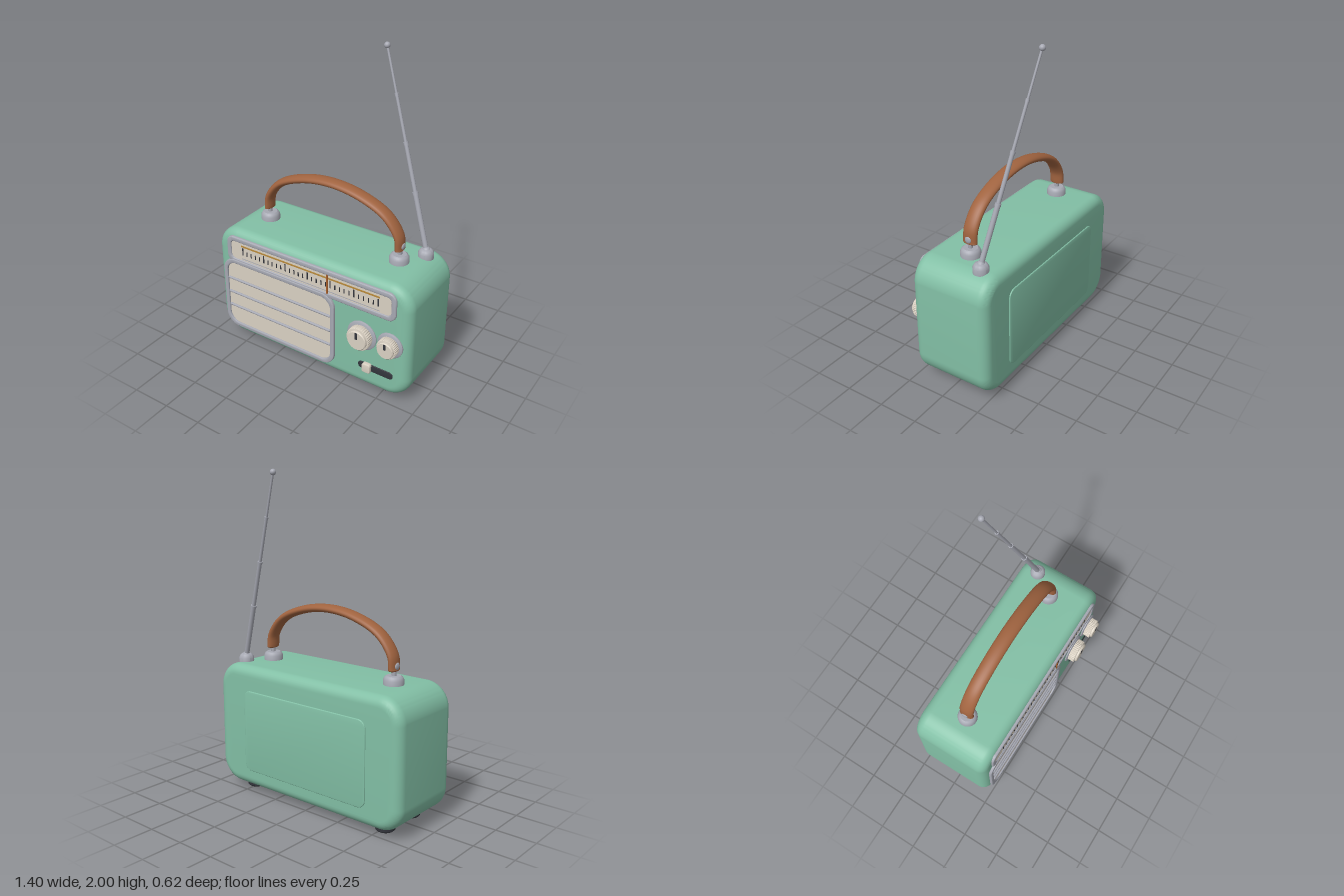
import * as THREE from 'three';
import { toCreasedNormals } from 'three/addons/utils/BufferGeometryUtils.js';

const mat = (name, color) => Object.assign(new THREE.MeshStandardMaterial({ color }), { name });

// Rounded rectangle outline from its edges
function roundedRect(x0, x1, y0, y1, r, Type = THREE.Shape) {
  const s = new Type();
  s.absarc(x1 - r, y0 + r, r, -Math.PI / 2, 0);
  s.absarc(x1 - r, y1 - r, r, 0, Math.PI / 2);
  s.absarc(x0 + r, y1 - r, r, Math.PI / 2, Math.PI);
  s.absarc(x0 + r, y0 + r, r, Math.PI, Math.PI * 1.5);
  s.closePath();
  return s;
}

// Extrusion filling z0..z1 whose bevel stays inside the outline
function slab(shape, z0, z1, bevel, segments = 3) {
  const g = new THREE.ExtrudeGeometry(shape, {
    depth: z1 - z0 - 2 * bevel, bevelEnabled: bevel > 0, bevelThickness: bevel,
    bevelSize: bevel, bevelOffset: -bevel, bevelSegments: segments, curveSegments: 12,
  });
  g.translate(0, 0, z0 + bevel);
  return toCreasedNormals(g, 0.6);
}

export function createModel() {
  const model = new THREE.Group();
  model.name = 'portableRadio';
  const green = mat('green enamel', 0x82bfa5);
  const cream = mat('cream plastic', 0xd9d0c2);
  const metal = mat('brushed metal', 0xa6a8b2);
  const leather = mat('brown leather', 0xa0633f);
  const dark = mat('dark rubber', 0x34363d);
  const gold = mat('gold line', 0xb88a3c);
  const pointerMat = mat('pointer orange', 0xa8602c);

  const add = (name, geometry, material, x = 0, y = 0, z = 0, parent = model) => {
    const m = new THREE.Mesh(geometry, material);
    m.name = name;
    m.position.set(x, y, z);
    parent.add(m);
    return m;
  };
  const lathe = (pts) => toCreasedNormals(
    new THREE.LatheGeometry(pts.map(p => new THREE.Vector2(...p)), 32), 0.6);
  const FACE = 0.235;

  // Cabinet and back cover
  add('body', slab(roundedRect(-0.7, 0.7, 0.045, 0.82, 0.15), -0.28, FACE, 0.06, 8), green);
  add('backCover', slab(roundedRect(-0.47, 0.47, 0.155, 0.67, 0.05), -0.287, -0.27, 0.004), green);

  // Feet
  const footGeo = lathe([[0, 0], [0.05, 0], [0.058, 0.008], [0.061, 0.05], [0, 0.05]]);
  for (const x of [-0.515, 0.515])
    for (const z of [0.105, -0.145]) add('foot', footGeo, dark, x, 0, z);

  // Framed panels: a metal rim around a cream plate
  function panel(name, x0, x1, y0, y1, r, rim, top) {
    const frame = roundedRect(x0, x1, y0, y1, r);
    frame.holes.push(roundedRect(x0 + rim, x1 - rim, y0 + rim, y1 - rim, r - rim * 0.7, THREE.Path));
    add(name + 'Frame', slab(frame, 0.225, top, 0.006), metal);
    const i = rim - 0.008;
    add(name + 'Plate', slab(roundedRect(x0 + i, x1 - i, y0 + i, y1 - i, r - i * 0.7), 0.225, 0.241, 0), cream);
  }
  panel('dial', -0.612, 0.607, 0.594, 0.78, 0.05, 0.031, 0.248);
  panel('speaker', -0.648, 0.195, 0.1, 0.614, 0.09, 0.028, 0.252);

  // Speaker bars
  const barGeo = new THREE.CapsuleGeometry(0.009, 0.77, 6, 12).rotateZ(Math.PI / 2);
  for (const y of [0.255, 0.358, 0.463]) add('speakerBar', barGeo, metal, -0.227, y, 0.243);

  // Dial scale: gold line, ticks, lower line and pointer
  add('scaleLine', new THREE.BoxGeometry(1.0, 0.01, 0.004), gold, 0, 0.727, 0.242);
  add('scaleLowerLine', new THREE.BoxGeometry(1.0, 0.004, 0.003), metal, 0, 0.637, 0.242);
  for (let i = 0; i <= 30; i++) {
    const h = i % 5 === 0 ? 0.05 : 0.03;
    add('scaleTick', new THREE.BoxGeometry(i % 5 === 0 ? 0.008 : 0.006, h, 0.003), dark,
      -0.49 + i * 0.98 / 30, 0.665 + h / 2, 0.242);
  }
  add('dialPointer', new THREE.BoxGeometry(0.011, 0.132, 0.007), pointerMat, 0.143, 0.687, 0.244);

  // Fluted knobs on metal collars
  function knob(name, x, y, r, collar) {
    const g = new THREE.Group();
    g.name = name;
    g.position.set(x, y, FACE);
    model.add(g);
    add('collar', lathe([[0, -0.005], [collar, -0.005], [collar, 0.006], [collar - 0.008, 0.011], [0, 0.011]])
      .rotateX(Math.PI / 2), metal, 0, 0, 0, g);
    const pts = [];
    for (let i = 0; i < 144; i++) {
      const a = i / 144 * Math.PI * 2, q = r - 0.0015 + 0.0015 * Math.cos(a * 36);
      pts.push(new THREE.Vector2(q * Math.cos(a), q * Math.sin(a)));
    }
    add('grip', slab(new THREE.Shape(pts), 0.005, 0.055, 0.004, 2), cream, 0, 0, 0, g);
    add('cap', lathe([[r * 0.84, 0.05], [r * 0.84, 0.065], [r * 0.77, 0.07], [0, 0.07]])
      .rotateX(Math.PI / 2), cream, 0, 0, 0, g);
    add('mark', new THREE.BoxGeometry(0.2 * r, r * 0.58, 0.004), dark, 0, r * 0.45, 0.071, g);
  }
  knob('tuningKnob', 0.385, 0.415, 0.077, 0.098);
  knob('volumeKnob', 0.575, 0.423, 0.064, 0.083);

  // Slide switch
  add('switchSlot', slab(roundedRect(0.363, 0.6, 0.176, 0.224, 0.0235), 0.225, 0.24, 0.002), dark);
  add('switchButton', slab(roundedRect(0.4, 0.456, 0.169, 0.231, 0.012), 0.23, 0.262, 0.006), cream);

  // Carrying handle: flattened tube over two metal mounts
  const HZ = -0.022, WIDE = 1.9, R = 0.0245;
  const half = [[0.47, 0.905], [0.46, 0.985], [0.375, 1.093], [0.2, 1.17]];
  const path = [...half.map(([x, y]) => [-x, y]), [0, 1.197], ...half.slice().reverse()];
  const curve = new THREE.CatmullRomCurve3(path.map(([x, y]) => new THREE.Vector3(x, y, 0)));
  add('handle', new THREE.TubeGeometry(curve, 64, R, 24).scale(1, 1, WIDE), leather, 0, 0, HZ);
  const mountGeo = lathe([[0.06, -0.01], [0.06, 0.03], [0.052, 0.046], [0.042, 0.053], [0, 0.053]]);
  const rivetGeo = new THREE.SphereGeometry(0.021, 20, 12).scale(0.4, 1, 1);
  const endGeo = new THREE.SphereGeometry(R, 24, 12).scale(1, 0.5, WIDE);
  for (const s of [-1, 1]) {
    add('handleEnd', endGeo, leather, s * 0.47, 0.905, HZ);
    add('handleMount', mountGeo, metal, s * 0.468, 0.818, HZ);
    add('handlePin', new THREE.CylinderGeometry(0.014, 0.014, 0.05, 16), metal, s * 0.47, 0.875, HZ);
    add('handleRivet', rivetGeo, metal, s * 0.491, 0.927, HZ);
  }

  // Telescopic antenna on its pivot
  add('antennaBase', lathe([[0.047, -0.01], [0.047, 0.025], [0.038, 0.042], [0.026, 0.05], [0, 0.05]]),
    metal, 0.568, 0.818, -0.163);
  const foot = new THREE.Vector3(0.568, 0.855, -0.163), tip = new THREE.Vector3(0.183, 1.983, -0.295);
  const length = foot.distanceTo(tip);
  const antenna = new THREE.Group();
  antenna.name = 'antenna';
  antenna.position.copy(foot);
  antenna.quaternion.setFromUnitVectors(new THREE.Vector3(0, 1, 0), tip.clone().sub(foot).normalize());
  model.add(antenna);
  add('pivot', new THREE.SphereGeometry(0.026, 20, 14), metal, 0, 0, 0, antenna);
  const stops = [0, 0.29, 0.535, 0.77, 1], radii = [0.0155, 0.0125, 0.0095, 0.007];
  radii.forEach((r, i) => {
    const a = stops[i] * length, b = stops[i + 1] * length;
    add('antennaSection', new THREE.CylinderGeometry(r, r, b - a, 16), metal, 0, (a + b) / 2, 0, antenna);
    if (i < 3) add('antennaCollar', new THREE.CylinderGeometry(r + 0.002, r + 0.002, 0.018, 16), metal, 0, b, 0, antenna);
  });
  add('antennaTip', new THREE.SphereGeometry(0.018, 20, 14), metal, 0, length, 0, antenna);

  return model;
}
